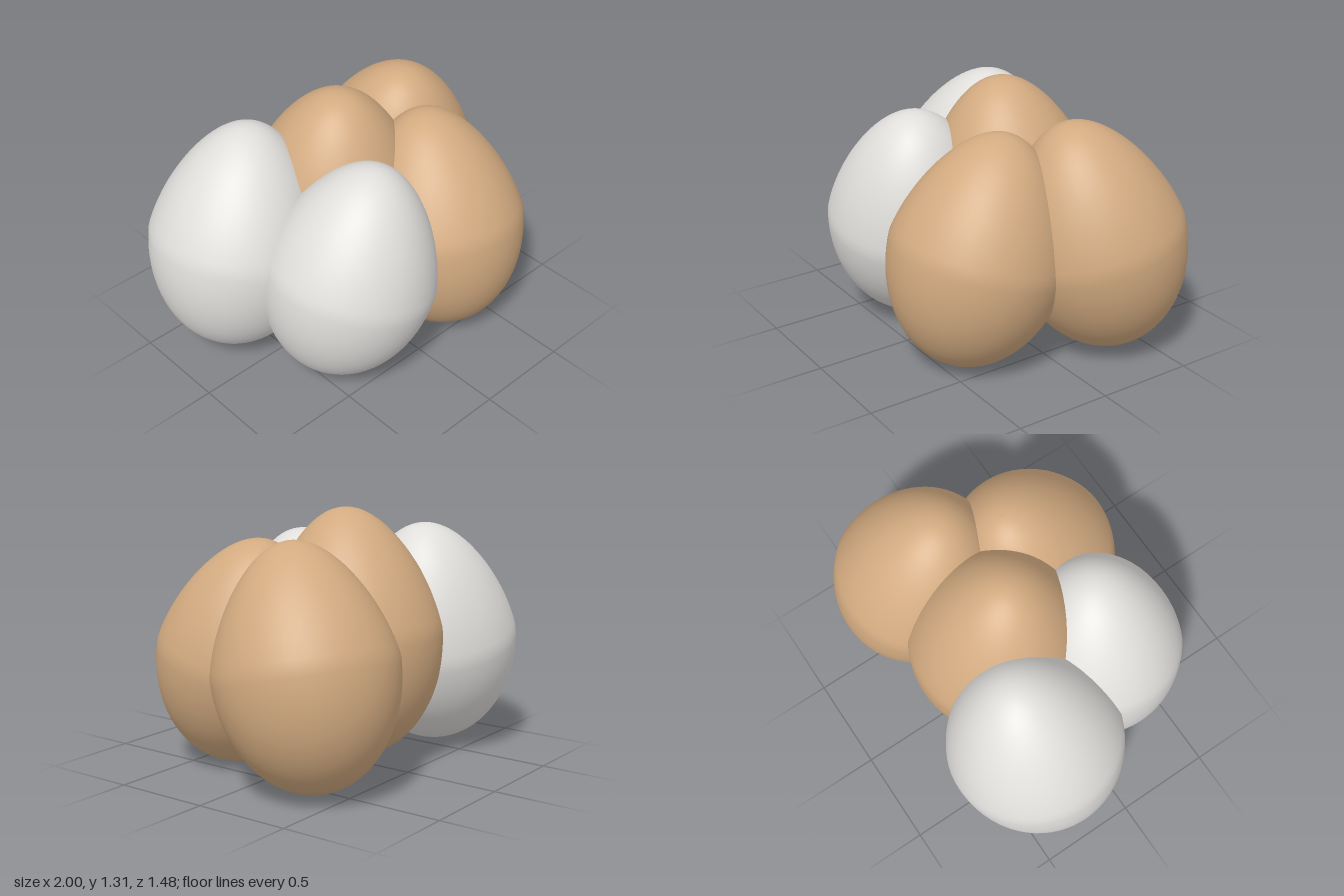
import * as THREE from 'three';

const brown = new THREE.MeshStandardMaterial({ color: 0xd2aa80 });
brown.name = 'brown shell';
const white = new THREE.MeshStandardMaterial({ color: 0xe0dedb });
white.name = 'white shell';

// Egg of revolution: an ellipse whose upper half tapers towards the tip
function eggGeometry(radius, halfHeight, taper = 0.23) {
  const profile = [];
  const steps = 48;
  for (let i = 0; i <= steps; i++) {
    const t = -Math.PI / 2 + (Math.PI * i) / steps;
    const s = Math.sin(t);
    const r = radius * Math.cos(t) * (1 - taper * Math.max(0, s));
    profile.push(new THREE.Vector2(Math.max(0, r), halfHeight * s));
  }
  return new THREE.LatheGeometry(profile, 64);
}

// lean = degrees the tip leans towards +x and +z
const eggs = [
  { name: 'backRightEgg', mat: white, at: [-0.53, 0.622, -0.285], r: 0.455, h: 0.605, lean: [14, -3] },
  { name: 'backLeftEgg', mat: brown, at: [0.545, 0.622, -0.272], r: 0.455, h: 0.605, lean: [-6, 14] },
  { name: 'centreEgg', mat: brown, at: [-0.005, 0.685, -0.147], r: 0.465, h: 0.637, lean: [-1, 6] },
  { name: 'frontRightEgg', mat: white, at: [-0.28, 0.593, 0.28], r: 0.442, h: 0.585, lean: [14, 5] },
  { name: 'frontLeftEgg', mat: brown, at: [0.335, 0.594, 0.275], r: 0.45, h: 0.597, lean: [2, -15] },
];

export function createModel() {
  const group = new THREE.Group();
  group.name = 'eggCluster';
  const up = new THREE.Vector3(0, 1, 0);
  for (const e of eggs) {
    const egg = new THREE.Mesh(eggGeometry(e.r, e.h), e.mat);
    egg.name = e.name;
    egg.position.set(...e.at);
    const [lx, lz] = e.lean.map((d) => Math.tan(THREE.MathUtils.degToRad(d)));
    egg.quaternion.setFromUnitVectors(up, new THREE.Vector3(lx, 1, lz).normalize());
    group.add(egg);
  }
  return group;
}
